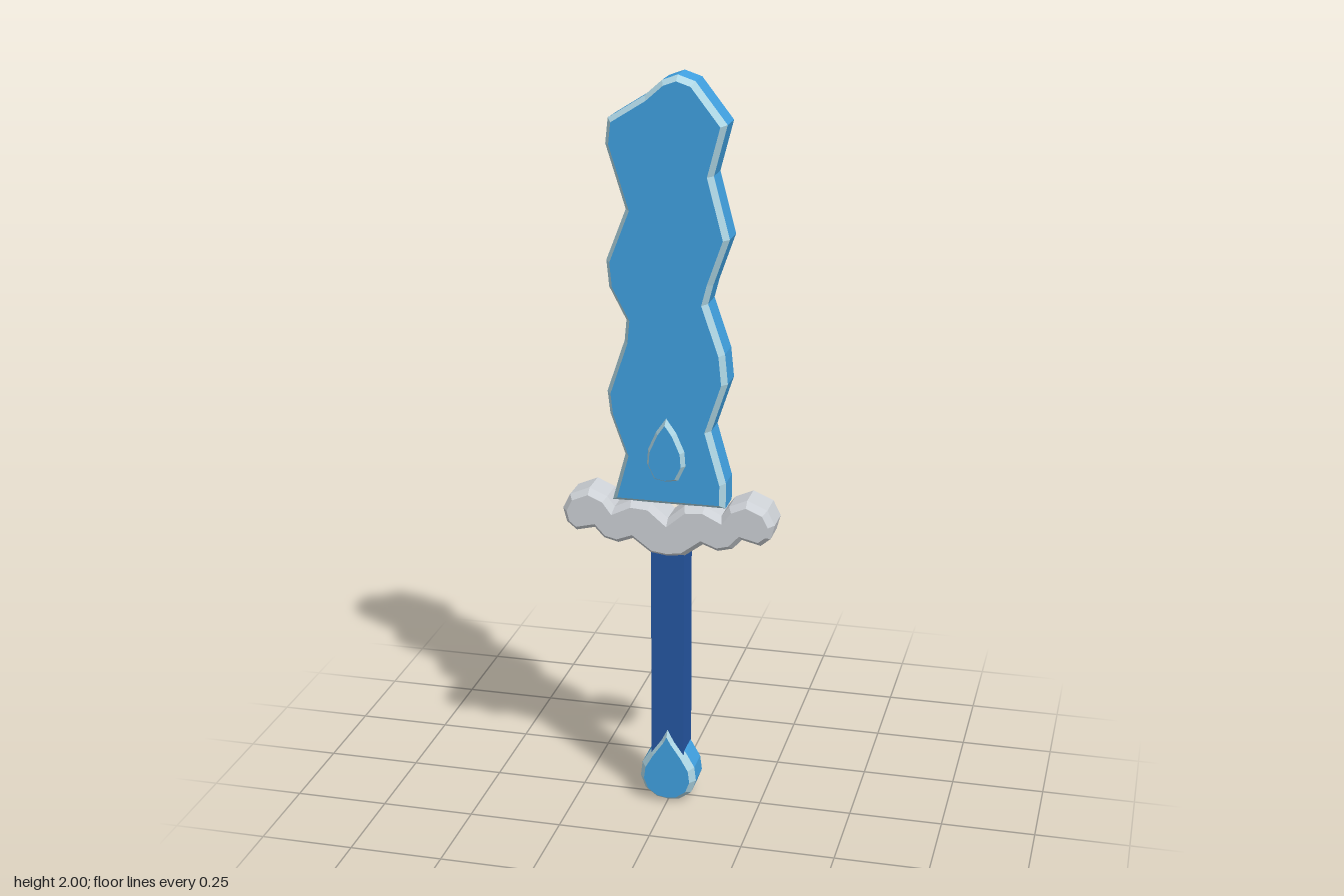
import * as THREE from 'three';

const paint = (name, color) => {
  const m = new THREE.MeshStandardMaterial({ color });
  m.name = name;
  return m;
};

// Moves a counter-clockwise outline inwards with mitred corners.
function insetOutline(pts, d) {
  const n = pts.length;
  return pts.map((p, i) => {
    const a = p.clone().sub(pts[(i + n - 1) % n]).normalize();
    const b = pts[(i + 1) % n].clone().sub(p).normalize();
    const n1 = new THREE.Vector2(-a.y, a.x), n2 = new THREE.Vector2(-b.y, b.x);
    const k = d / Math.max(0.25, 1 + n1.dot(n2));
    return p.clone().addScaledVector(n1.add(n2), k);
  });
}

// Flat slab with a chamfer on both sides; groups: 0 faces, 1 chamfer, 2 rim.
function slab(name, outline, inset, half, rimHalf, materials) {
  const outer = outline.map(([x, y]) => new THREE.Vector2(x, y));
  const inner = insetOutline(outer, inset);
  const pos = [], geo = new THREE.BufferGeometry();
  const put = (p, z) => pos.push(p.x, p.y, z);
  let start = 0;
  const closeGroup = (index) => {
    geo.addGroup(start, pos.length / 3 - start, index);
    start = pos.length / 3;
  };
  const band = (A, za, B, zb) => A.forEach((a, i) => {
    const j = (i + 1) % A.length;
    put(a, za); put(A[j], za); put(B[j], zb);
    put(a, za); put(B[j], zb); put(B[i], zb);
  });
  for (const [a, b, c] of THREE.ShapeUtils.triangulateShape(inner, [])) {
    [a, b, c].forEach((i) => put(inner[i], half));
    [a, c, b].forEach((i) => put(inner[i], -half));
  }
  closeGroup(0);
  band(inner, -half, outer, -rimHalf);
  band(outer, rimHalf, inner, half);
  closeGroup(1);
  band(outer, -rimHalf, outer, rimHalf);
  closeGroup(2);
  geo.setAttribute('position', new THREE.Float32BufferAttribute(pos, 3));
  geo.computeVertexNormals();
  const mesh = new THREE.Mesh(geo, materials);
  mesh.name = name;
  return mesh;
}

// Completes a right half (bottom centre to top centre) by mirroring it.
const mirrored = (half) =>
  [...half, ...half.slice(1, -1).reverse().map(([x, y]) => [-x, y])];

export function createModel() {
  const blue = paint('water blue', 0x40a0e0);
  const pale = paint('pale edge', 0xaed6e4);
  const silver = paint('silver', 0xcdd1d6);
  const navy = paint('navy grip', 0x2556a2);
  const group = new THREE.Group();
  group.name = 'sword';

  // Wavy blade
  const bladeOutline = [
    [-0.15, 0.87], [0.155, 0.87], [0.155, 0.94], [0.115, 1.08], [0.158, 1.21],
    [0.15, 1.29], [0.105, 1.42], [0.118, 1.47], [0.16, 1.59], [0.118, 1.75],
    [0.152, 1.88], [0.07, 1.985], [0.025, 2.0], [-0.015, 1.985], [-0.06, 1.945],
    [-0.155, 1.885], [-0.162, 1.82], [-0.11, 1.655], [-0.162, 1.52],
    [-0.155, 1.45], [-0.11, 1.365], [-0.115, 1.31], [-0.162, 1.17],
    [-0.155, 1.11], [-0.115, 1.0],
  ];
  group.add(slab('blade', bladeOutline, 0.013, 0.058, 0.037, [blue, pale, blue]));

  // Raised droplet on both faces of the blade
  const emblemOutline = mirrored([
    [0, 0.937], [0.033, 0.943], [0.053, 0.985], [0.05, 1.025], [0.028, 1.075], [0, 1.115],
  ]);
  group.add(slab('dropletEmblem', emblemOutline, 0.01, 0.076, 0.055, [blue, pale, blue]));

  // Scalloped cloud guard
  const guardOutline = mirrored([
    [0, 0.722], [0.045, 0.728], [0.075, 0.75], [0.095, 0.765], [0.135, 0.75],
    [0.175, 0.76], [0.2, 0.787], [0.25, 0.775], [0.277, 0.797], [0.287, 0.835],
    [0.267, 0.875], [0.213, 0.898], [0.165, 0.877], [0.145, 0.85],
    [0.1, 0.872], [0.045, 0.868], [0, 0.83],
  ]);
  group.add(slab('guard', guardOutline, 0.014, 0.06, 0.04, [silver, silver, silver]));

  // Square grip
  const grip = new THREE.Mesh(new THREE.BoxGeometry(0.09, 0.66, 0.09), navy);
  grip.name = 'grip';
  grip.position.y = 0.43;
  group.add(grip);

  // Droplet pommel
  const pommelOutline = mirrored([
    [0, 0], [0.032, 0.005], [0.064, 0.028], [0.078, 0.065], [0.073, 0.105],
    [0.05, 0.145], [0.022, 0.185], [0, 0.228],
  ]);
  group.add(slab('pommel', pommelOutline, 0.014, 0.057, 0.036, [blue, pale, blue]));
  return group;
}
